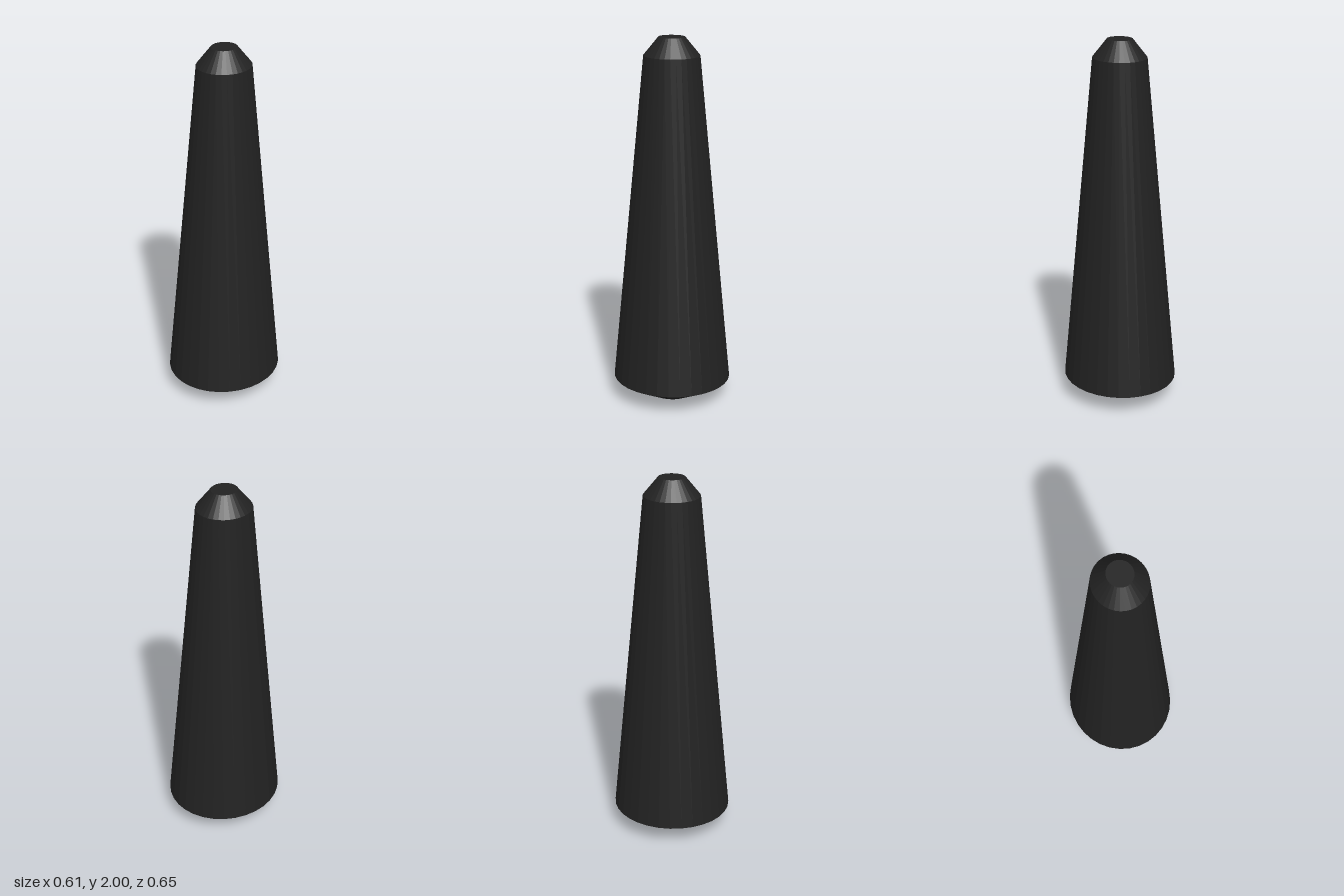
import * as THREE from 'three';

export function createModel() {
  const group = new THREE.Group();
  group.name = 'taperedPeg';

  // Closed profile: bottom cap, flared underside, long taper, chamfer, top cap
  const profile = [
    [0, 0], [0.11, 0], [0.305, 0.11], [0.14, 1.905], [0.066, 2], [0, 2],
  ].map(([r, y]) => new THREE.Vector2(r, y));

  const geometry = new THREE.LatheGeometry(profile, 32);
  geometry.scale(1, 1, 1.06); // slightly oval, deeper than wide

  const material = new THREE.MeshStandardMaterial({ color: 0x222222, flatShading: true });
  const body = new THREE.Mesh(geometry, material);
  body.name = 'body';
  group.add(body);
  return group;
}
